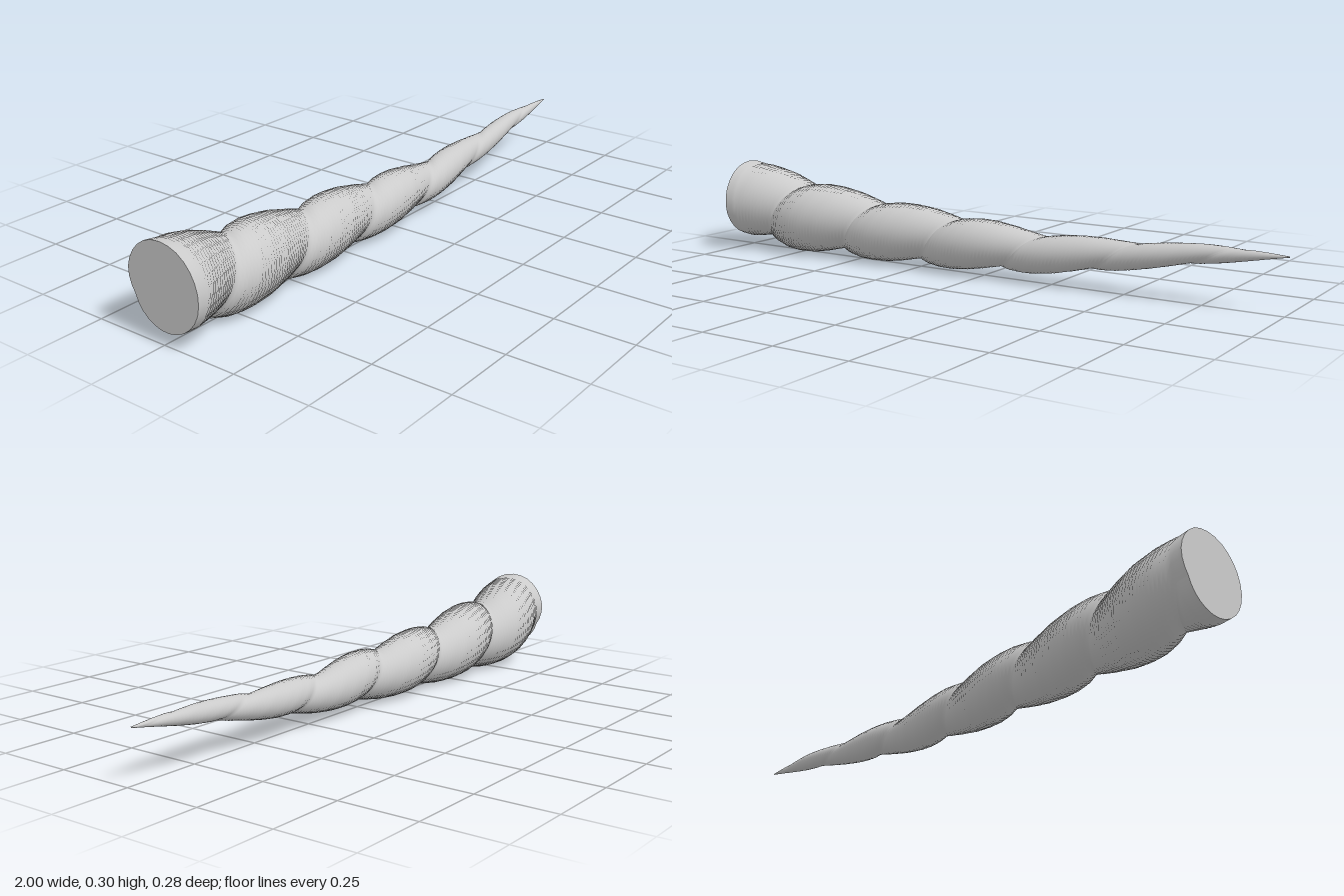
import * as THREE from 'three';

const RINGS = 160, SIDES = 28, PITCH = 0.32;

// Centre line height, centre line depth and radius, at even steps from base to tip
const stations = new THREE.CatmullRomCurve3([
  [0.165, 0, 0.141], [0.135, -0.01, 0.135], [0.118, -0.01, 0.12], [0.107, -0.01, 0.107],
  [0.101, -0.009, 0.098], [0.099, -0.003, 0.085], [0.096, -0.004, 0.068], [0.11, -0.01, 0.055],
  [0.13, -0.013, 0.04], [0.154, -0.019, 0.027], [0.167, -0.022, 0.002],
].map(p => new THREE.Vector3(...p)), false, 'catmullrom', 0.5);

// Cross-section of the coil: radius factor around one turn, starting at the groove
const section = [[0, 0.76], [0.1, 0.88], [0.25, 0.97], [0.4, 1], [0.6, 0.98], [0.8, 0.89], [1, 0.76]];
function coil(t) {
  let i = 0;
  while (i < section.length - 2 && t > section[i + 1][0]) i++;
  const [t0, f0] = section[i], [t1, f1] = section[i + 1];
  return f0 + (f1 - f0) * (t - t0) / (t1 - t0);
}

// Point on the horn; u runs from base to tip, t once around from the groove
function point(u, t) {
  const x = -1 + 2 * u;
  const s = stations.getPoint(u);
  const groove = Math.PI - (Math.max(x, -0.96) + 0.9) / PITCH * Math.PI * 2;
  const angle = groove + t * Math.PI * 2;
  const r = s.z * coil(t);
  return [x, Math.max(0, s.x + r * Math.cos(angle)), s.y + r * Math.sin(angle)];
}

function surface(positions, index) {
  const geometry = new THREE.BufferGeometry();
  geometry.setAttribute('position', new THREE.Float32BufferAttribute(positions, 3));
  geometry.setIndex(index);
  geometry.computeVertexNormals();
  return geometry;
}

export function createModel() {
  const group = new THREE.Group();
  group.name = 'spiralHorn';
  const material = new THREE.MeshStandardMaterial({ color: 0xcccccc });
  const add = (name, geometry) => {
    const mesh = new THREE.Mesh(geometry, material);
    mesh.name = name;
    group.add(mesh);
  };

  // Twisted body, with its seam along the groove so that the groove stays sharp
  const positions = [], index = [], row = SIDES + 1;
  for (let i = 0; i <= RINGS; i++) {
    for (let j = 0; j <= SIDES; j++) {
      positions.push(...point(i / RINGS, j / SIDES));
      if (i === RINGS || j === SIDES) continue;
      const a = i * row + j, b = a + row;
      index.push(a, a + 1, b, b, a + 1, b + 1);
    }
  }
  add('hornBody', surface(positions, index));

  // Flat end at the base
  const base = stations.getPoint(0);
  const capPositions = [-1, base.x, base.y], capIndex = [];
  for (let j = 0; j <= SIDES; j++) {
    capPositions.push(...point(0, j / SIDES));
    if (j < SIDES) capIndex.push(0, j + 2, j + 1);
  }
  add('baseCap', surface(capPositions, capIndex));

  return group;
}
